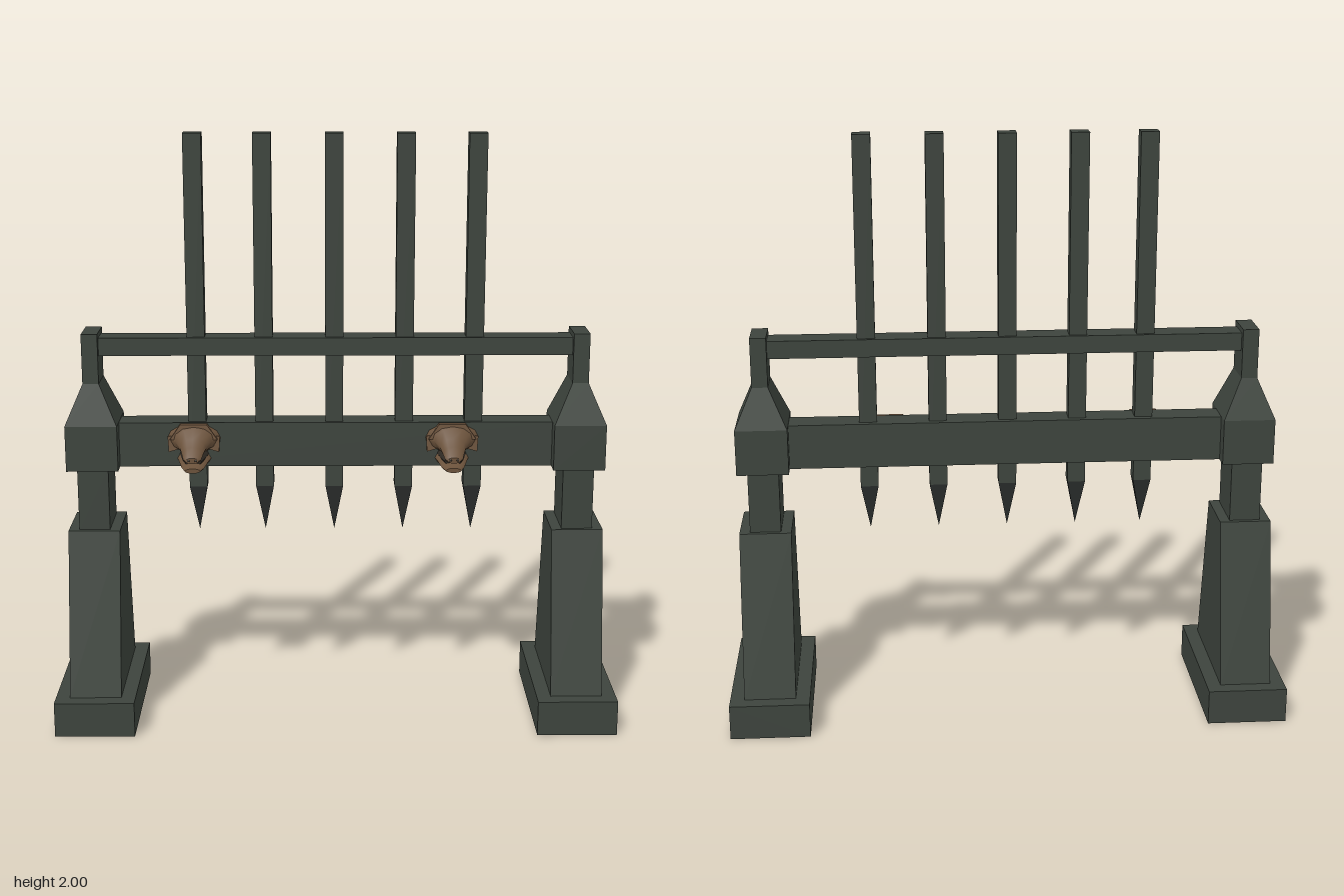
import * as THREE from 'three';
import { toCreasedNormals } from 'three/addons/utils/BufferGeometryUtils.js';

const material = (name, color) => {
  const m = new THREE.MeshStandardMaterial({ color, side: THREE.DoubleSide });
  m.name = name;
  return m;
};

// Box between y0 and y1 whose top can be narrower than its bottom
function taperedBox(y0, y1, w0, d0, w1 = w0, d1 = d0, openBottom = false) {
  const geo = new THREE.BoxGeometry(1, y1 - y0, 1);
  geo.translate(0, (y0 + y1) / 2, 0);
  const p = geo.attributes.position;
  for (let i = 0; i < p.count; i++) {
    const top = p.getY(i) > (y0 + y1) / 2;
    p.setX(i, p.getX(i) * (top ? w1 : w0));
    p.setZ(i, p.getZ(i) * (top ? d1 : d0));
  }
  if (openBottom) {
    const index = Array.from(geo.index.array);
    index.splice(18, 6);
    geo.setIndex(index);
    geo.clearGroups();
  }
  const flat = geo.toNonIndexed();
  flat.computeVertexNormals();
  return flat;
}

// Loft of rounded rings along z; each row is [z, centreY, halfWidth, halfHeight]
function loft(rows, sides = 12) {
  const pos = [], index = [];
  const first = rows[0], last = rows[rows.length - 1];
  const closed = [[first[0], first[1], 0, 0], ...rows, [last[0], last[1], 0, 0]];
  closed.forEach(([z, y, w, h], r) => {
    for (let i = 0; i < sides; i++) {
      const a = (i / sides) * Math.PI * 2;
      pos.push(Math.cos(a) * w, y + Math.sin(a) * h, z);
      if (r === closed.length - 1) continue;
      const j = (i + 1) % sides, n = r * sides;
      index.push(n + i, n + j, n + sides + j, n + i, n + sides + j, n + sides + i);
    }
  });
  const geo = new THREE.BufferGeometry();
  geo.setAttribute('position', new THREE.Float32BufferAttribute(pos, 3));
  geo.setIndex(index);
  return toCreasedNormals(geo, 0.7);
}

export function createModel() {
  const model = new THREE.Group();
  model.name = 'spikedGate';
  const iron = material('darkGreenIron', 0x3d443d);
  const tipIron = material('blackenedTip', 0x2b2e2d);
  const bronze = material('bronze', 0x6b523b);
  const shade = material('mouthShade', 0x302b24);

  const add = (parent, name, geo, mat, x = 0, y = 0, z = 0) => {
    const mesh = new THREE.Mesh(geo, mat);
    mesh.name = name;
    mesh.position.set(x, y, z);
    parent.add(mesh);
    return mesh;
  };

  // Hollow plinth: a rectangular frame extruded upward
  const frame = new THREE.Shape([[-0.135, -0.275], [0.135, -0.275], [0.135, 0.275], [-0.135, 0.275]]
    .map(([x, y]) => new THREE.Vector2(x, y)));
  frame.holes.push(new THREE.Path([[-0.087, -0.225], [-0.087, 0.225], [0.087, 0.225], [0.087, -0.225]]
    .map(([x, y]) => new THREE.Vector2(x, y))));
  const plinth = new THREE.ExtrudeGeometry(frame, { depth: 0.12, bevelEnabled: false });
  plinth.rotateX(-Math.PI / 2);

  // Two side pillars
  for (const side of [-1, 1]) {
    const pillar = new THREE.Group();
    pillar.name = side > 0 ? 'leftPillar' : 'rightPillar';
    pillar.position.x = side * 0.817;
    add(pillar, 'plinth', plinth, iron);
    add(pillar, 'taperedFoot', taperedBox(0.12, 0.677, 0.174, 0.45, 0.174, 0.215, true), iron);
    add(pillar, 'neck', taperedBox(0.67, 0.89, 0.104, 0.184), iron);
    add(pillar, 'headBlock', taperedBox(0.885, 1.04, 0.174, 0.212), iron);
    add(pillar, 'shoulder', taperedBox(1.04, 1.177, 0.174, 0.212, 0.054, 0.132), iron);
    add(pillar, 'topPost', taperedBox(1.177, 1.345, 0.054, 0.132), iron);
    model.add(pillar);
  }

  // Cross members
  add(model, 'mainBeam', new THREE.BoxGeometry(1.5, 0.152, 0.096), iron, 0, 0.962, -0.003);
  add(model, 'upperRail', new THREE.BoxGeometry(1.6, 0.06, 0.086), iron, 0, 1.298, 0);

  // Hanging bars with pointed tips
  const bar = taperedBox(0.81, 2, 0.06, 0.06);
  const tip = taperedBox(0.652, 0.81, 0.0005, 0.0005, 0.06, 0.06);
  [-0.467, -0.241, -0.005, 0.23, 0.464].forEach((x, i) => {
    add(model, `bar${i + 1}`, bar, iron, x);
    add(model, `barTip${i + 1}`, tip, tipIron, x);
  });

  // Cast animal heads on the front of the beam
  const skull = loft([
    [0.04, 0.985, 0.092, 0.05], [0.055, 0.985, 0.085, 0.049], [0.075, 0.98, 0.062, 0.042],
    [0.1, 0.965, 0.044, 0.03], [0.125, 0.951, 0.036, 0.022], [0.15, 0.938, 0.03, 0.014],
    [0.157, 0.935, 0.022, 0.01]]);
  const jaw = loft([
    [0.04, 0.915, 0.058, 0.026], [0.075, 0.912, 0.05, 0.022],
    [0.115, 0.9, 0.038, 0.012], [0.145, 0.897, 0.026, 0.008]]);
  const mouth = loft([[0.04, 0.93, 0.05, 0.03], [0.09, 0.925, 0.038, 0.025], [0.11, 0.92, 0.028, 0.016]]);
  const ear = taperedBox(-0.025, 0.025, 0.05, 0.022, 0.026, 0.012);
  [-0.478, 0.392].forEach((x, i) => {
    const head = new THREE.Group();
    head.name = i ? 'leftHead' : 'rightHead';
    head.position.x = x;
    add(head, 'skull', skull, bronze);
    add(head, 'jaw', jaw, bronze);
    add(head, 'mouth', mouth, shade);
    for (const s of [-1, 1]) {
      add(head, 'ear', ear, bronze, s * 0.068, 0.972, 0.053).rotation.z = s * -0.3;
      add(head, 'nostril', new THREE.SphereGeometry(0.006, 8, 6), shade, s * 0.012, 0.936, 0.153);
    }
    add(head, 'crown', taperedBox(0.985, 1.035, 0.16, 0.03, 0.09, 0.02), bronze, 0, 0, 0.055);
    model.add(head);
  });

  return model;
}
